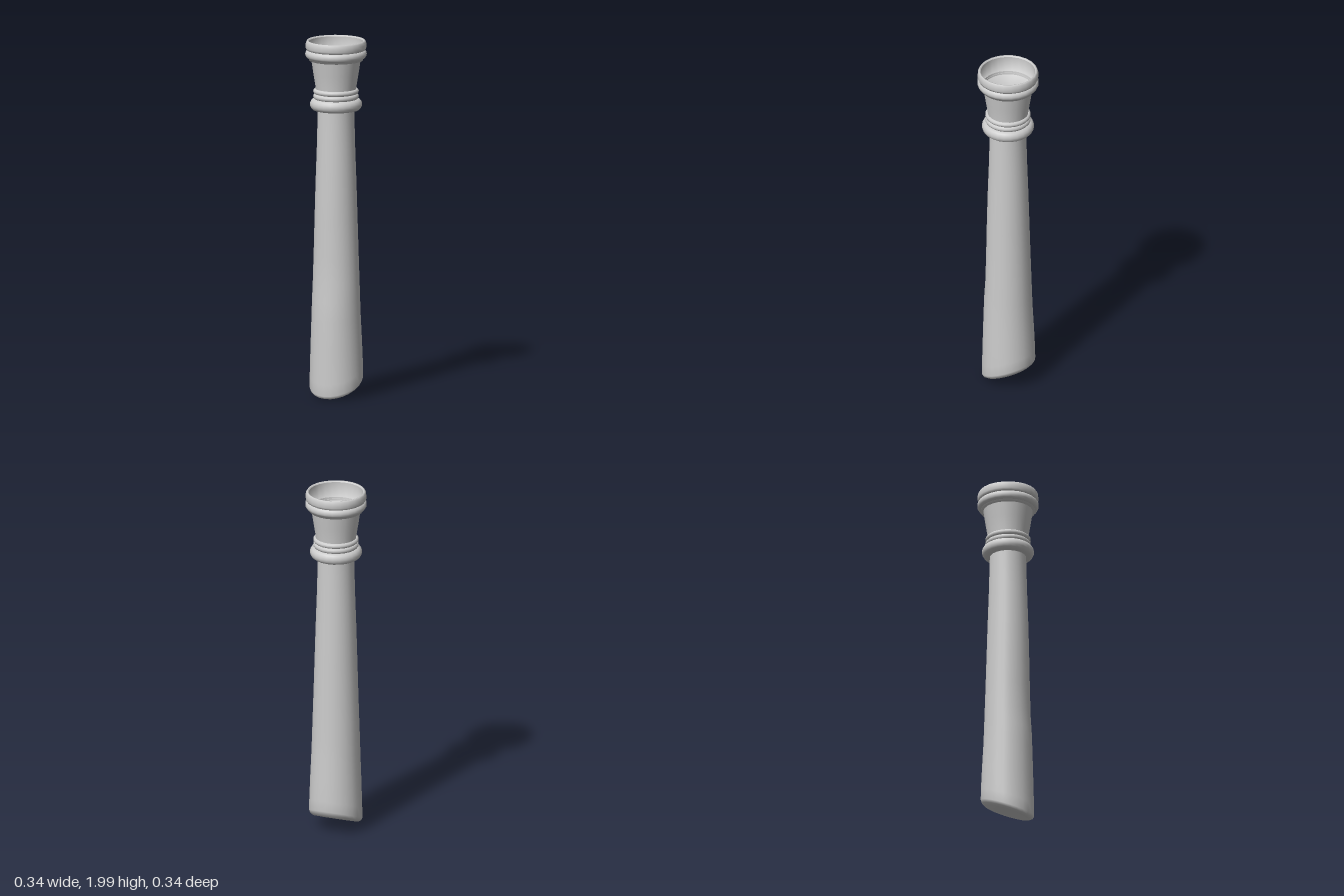
import * as THREE from 'three';
import { mergeVertices } from 'three/addons/utils/BufferGeometryUtils.js';

const SIDES = 24;
const material = new THREE.MeshStandardMaterial({ color: 0xcccccc, side: THREE.DoubleSide });

function turned(name, points) {
  const profile = points.map(([r, y]) => new THREE.Vector2(r, y));
  const mesh = new THREE.Mesh(new THREE.LatheGeometry(profile, SIDES), material);
  mesh.name = name;
  return mesh;
}

// Half-round moulding profile from y0 up to y1, bulging from rIn to rOut
function roll(rIn, rOut, y0, y1, steps = 8) {
  return Array.from({ length: steps + 1 }, (_, i) => {
    const a = -Math.PI / 2 + (i / steps) * Math.PI;
    return [rIn + (rOut - rIn) * Math.cos(a), (y0 + y1) / 2 + ((y1 - y0) / 2) * Math.sin(a)];
  });
}

// Tapered shaft with a slanted, softly chamfered foot and a slight step down the front
function shaft() {
  const profile = [
    [0, 0.062], [0.07, 0.06], [0.125, 0.062], [0.14, 0.073], [0.148, 0.09], [0.147, 0.15],
    [0.142, 0.3], [0.136, 0.45], [0.133, 0.55], [0.13, 0.65], [0.125, 0.8],
    [0.119, 1.0], [0.113, 1.2], [0.106, 1.4], [0.1, 1.63],
  ].map(([r, y]) => new THREE.Vector2(r, y));
  let geometry = new THREE.LatheGeometry(profile, SIDES);
  const p = geometry.attributes.position;
  for (let i = 0; i < p.count; i++) {
    const y = p.getY(i);
    let z = p.getZ(i);
    // shallow flattening on the front above the step
    const dent = THREE.MathUtils.smoothstep(y, 0.5, 0.65) * (1 - THREE.MathUtils.smoothstep(y, 0.65, 1.2));
    if (z > 0) z *= 1 - 0.06 * dent;
    // slant the foot: low in front, high at the back
    const slant = 1 - THREE.MathUtils.smoothstep(y, 0.1, 0.6);
    p.setY(i, y - 0.43 * z * slant);
    p.setZ(i, z - 0.004 * slant);
  }
  geometry.deleteAttribute('normal');
  geometry.deleteAttribute('uv');
  geometry = mergeVertices(geometry, 1e-5);
  geometry.computeVertexNormals();
  const mesh = new THREE.Mesh(geometry, material);
  mesh.name = 'shaft';
  return mesh;
}

export function createModel() {
  const group = new THREE.Group();
  group.name = 'turnedHandle';
  group.add(
    shaft(),
    // collar mouldings
    turned('collarRing', [[0.095, 1.61], ...roll(0.115, 0.144, 1.61, 1.675), [0.1, 1.675]]),
    turned('lowerBead', roll(0.113, 0.126, 1.672, 1.702, 6)),
    turned('upperBead', roll(0.113, 0.126, 1.702, 1.73, 6)),
    // flared cup
    turned('cup', [[0.11, 1.68], [0.111, 1.73], [0.125, 1.815], [0.139, 1.91]]),
    // rim mouldings
    turned('lowerRimRing', [[0.135, 1.9], ...roll(0.15, 0.17, 1.9, 1.948)]),
    turned('upperRimRing', [
      [0.15, 1.945], [0.163, 1.948], [0.168, 1.96], [0.168, 1.978], [0.165, 1.992],
      [0.16, 2], [0.154, 1.999], [0.15, 1.993],
    ]),
    // shallow recess in the top
    turned('recess', [[0.15, 1.993], [0.15, 1.89], [0, 1.89]]),
  );
  return group;
}
